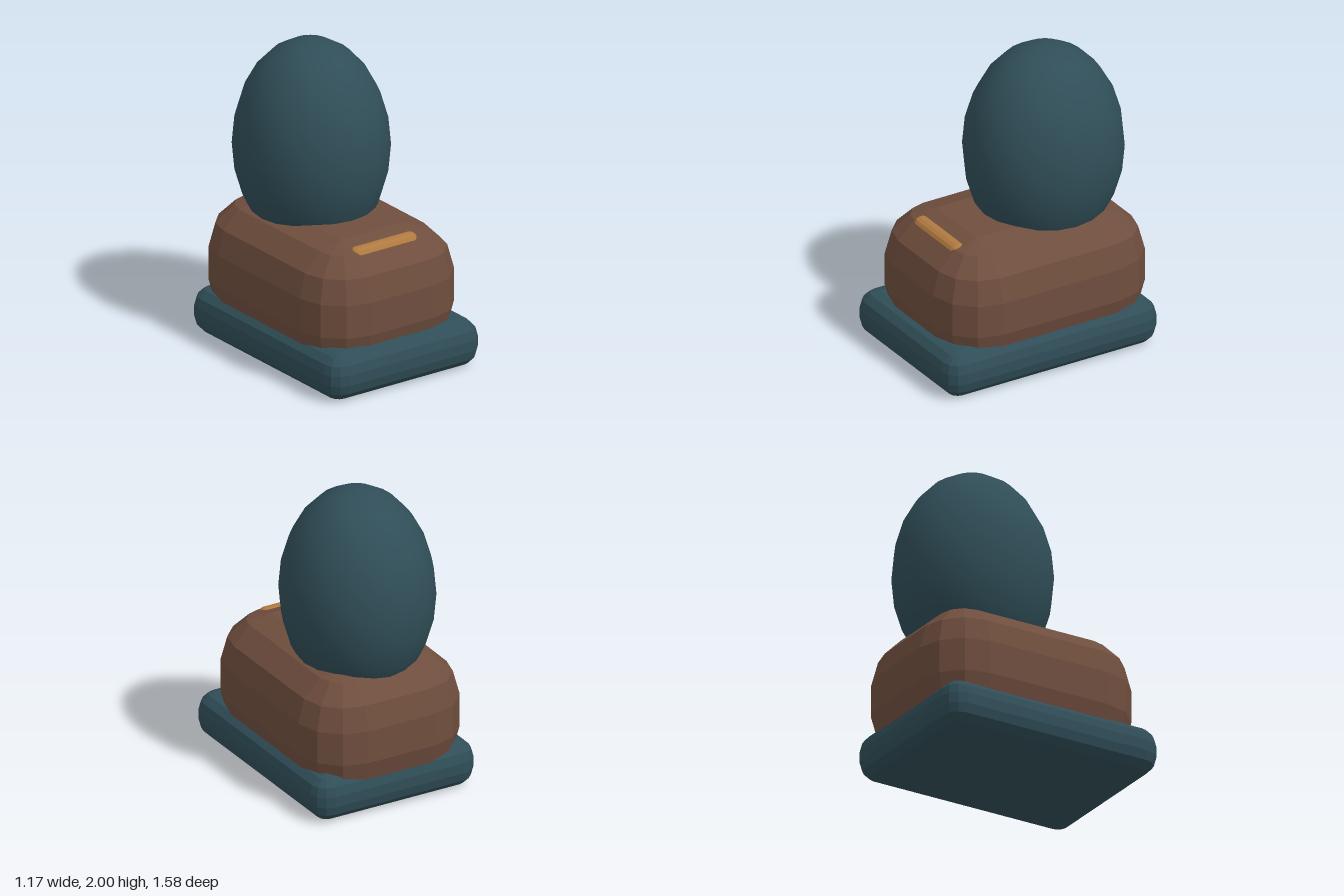
import * as THREE from 'three';

// Box with all edges and corners rounded in three 30-degree steps,
// lofted as a stack of rounded rectangles.
function bevelledBox(w, h, d, r) {
  const steps = 3, perRing = 4 * (steps + 1);
  const pos = [], index = [];
  const quarter = Math.PI / 2;
  const rings = [];
  for (let i = 0; i <= steps; i++) rings.push([-quarter + (i / steps) * quarter, -1]);
  for (let i = 0; i <= steps; i++) rings.push([(i / steps) * quarter, 1]);
  for (const [phi, side] of rings) {
    const y = side * (h / 2 - r) + r * Math.sin(phi);
    const rr = r * Math.cos(phi);
    for (let c = 0; c < 4; c++) {
      const sx = c === 0 || c === 3 ? 1 : -1;
      const sz = c < 2 ? 1 : -1;
      for (let i = 0; i <= steps; i++) {
        const a = (c + i / steps) * quarter;
        pos.push(sx * (w / 2 - r) + rr * Math.cos(a), y, sz * (d / 2 - r) + rr * Math.sin(a));
      }
    }
  }
  // side walls
  for (let k = 0; k < rings.length - 1; k++) {
    for (let i = 0; i < perRing; i++) {
      const j = (i + 1) % perRing;
      const a = k * perRing + i, b = k * perRing + j;
      const c = a + perRing, e = b + perRing;
      index.push(a, c, b, b, c, e);
    }
  }
  // flat bottom and top
  const top = (rings.length - 1) * perRing;
  for (let i = 1; i < perRing - 1; i++) {
    index.push(0, i, i + 1, top, top + i + 1, top + i);
  }
  const indexed = new THREE.BufferGeometry();
  indexed.setAttribute('position', new THREE.Float32BufferAttribute(pos, 3));
  indexed.setIndex(index);
  const geometry = indexed.toNonIndexed();
  geometry.computeVertexNormals();
  return geometry;
}

function material(name, color) {
  const m = new THREE.MeshStandardMaterial({ color });
  m.name = name;
  return m;
}

export function createModel() {
  const model = new THREE.Group();
  model.name = 'model';
  const teal = material('dark teal', 0x304e58);
  const brown = material('brown', 0x6f4e3e);
  const tan = material('tan', 0xb07a40);

  const add = (name, geometry, mat, x, y, z) => {
    const mesh = new THREE.Mesh(geometry, mat);
    mesh.name = name;
    mesh.position.set(x, y, z);
    model.add(mesh);
    return mesh;
  };

  // Low slab at the bottom
  add('base', bevelledBox(1.17, 0.31, 1.56, 0.12), teal, 0, 0.155, 0.01);

  // Chunky rounded block, sunk into the base
  add('body', bevelledBox(1.12, 0.86, 1.5, 0.32), brown, 0, 0.49, -0.04);

  // Egg standing towards the back of the body
  const egg = new THREE.SphereGeometry(1, 20, 12);
  egg.scale(0.485, 0.7, 0.52);
  add('egg', egg, teal, 0, 1.3, -0.25);

  // Small bar lying on the sloped front edge
  const bar = add('frontBar', bevelledBox(0.51, 0.1, 0.11, 0.048), tan, 0, 0.85, 0.51);
  bar.rotation.x = 0.2;

  return model;
}
